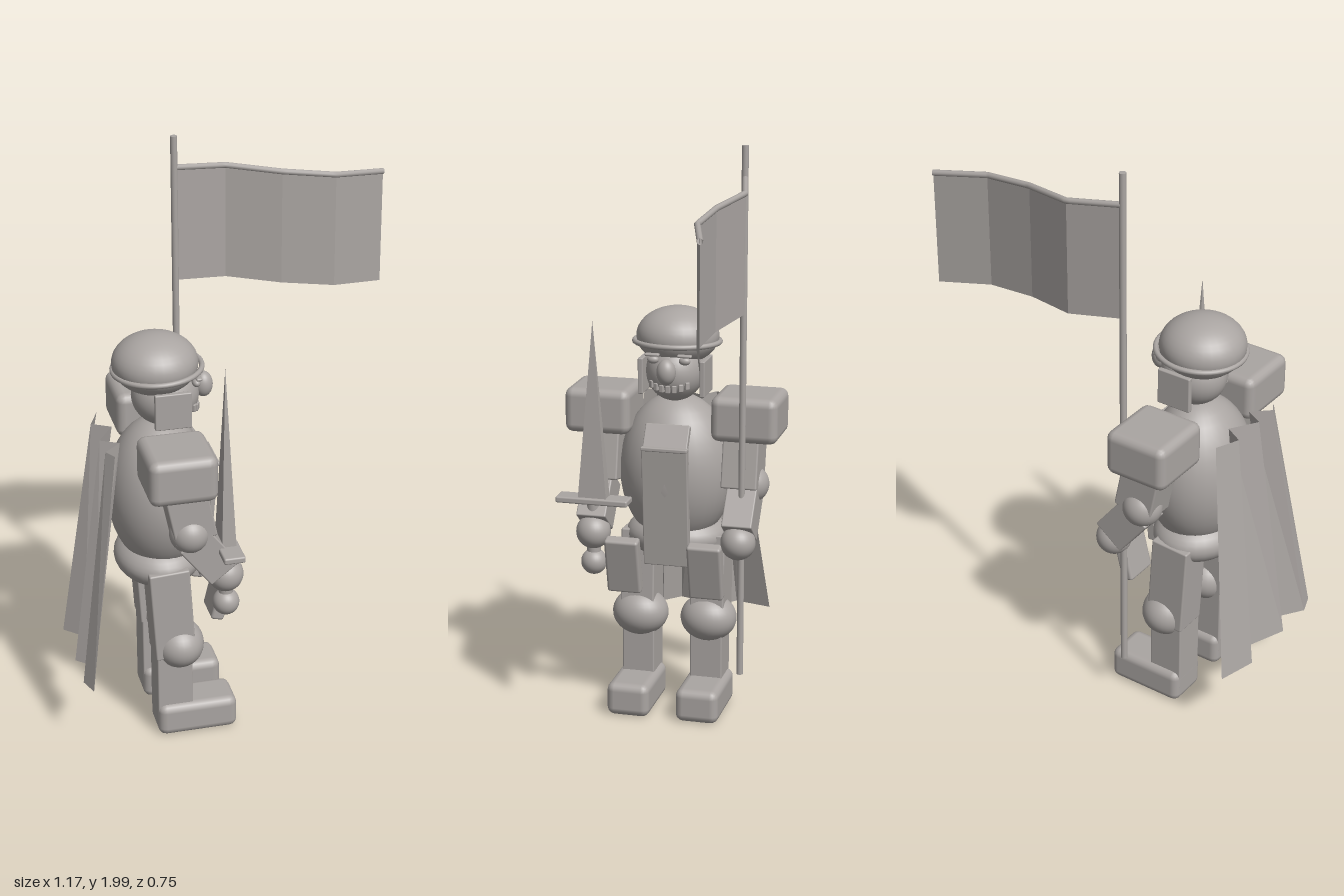
import * as THREE from 'three';
import { RoundedBoxGeometry } from 'three/addons/geometries/RoundedBoxGeometry.js';

const stone = new THREE.MeshStandardMaterial({ color: 0xaaa5a2 });
stone.name = 'warmGrey';
stone.side = THREE.DoubleSide;

export function createModel() {
  const model = new THREE.Group();
  model.name = 'standardBearer';

  const add = (name, geometry, x = 0, y = 0, z = 0) => {
    const mesh = new THREE.Mesh(geometry, stone);
    mesh.name = name;
    mesh.position.set(x, y, z);
    model.add(mesh);
    return mesh;
  };
  const ball = (name, x, y, z, rx, ry = rx, rz = rx) => {
    const mesh = add(name, new THREE.SphereGeometry(1, 32, 20), x, y, z);
    mesh.scale.set(rx, ry, rz);
    return mesh;
  };
  const block = (name, x, y, z, w, h, d, bevel = 0.006, tilt = 0) => {
    const mesh = add(name, new RoundedBoxGeometry(w, h, d, 2, bevel), x, y, z);
    mesh.rotation.z = tilt;
    return mesh;
  };
  // Open sheet between an upper and a lower row of points
  const sheet = (name, upper, lower) => {
    const p = [];
    for (let i = 0; i < upper.length - 1; i++) {
      const [a, b, c, d] = [upper[i], lower[i], lower[i + 1], upper[i + 1]];
      p.push(...a, ...b, ...c, ...a, ...c, ...d);
    }
    const g = new THREE.BufferGeometry();
    g.setAttribute('position', new THREE.Float32BufferAttribute(p, 3));
    g.computeVertexNormals();
    return add(name, g);
  };

  // Body
  ball('torso', -0.265, 0.86, 0, 0.175, 0.27, 0.2);
  ball('hips', -0.275, 0.625, 0, 0.147, 0.09, 0.18);
  block('chestPlateLower', -0.113, 0.763, 0, 0.03, 0.425, 0.16, 0.004, -0.085);
  block('chestPlateUpper', -0.123, 1.005, 0, 0.025, 0.09, 0.155, 0.004, 0.55);
  block('chestBar', -0.09, 0.972, 0, 0.03, 0.014, 0.162, 0.004);

  // Head and helmet
  ball('head', -0.24, 1.215, 0, 0.112, 0.105, 0.1);
  ball('helmet', -0.272, 1.33, 0, 0.142, 0.1, 0.142);
  const brim = add('helmetBrim', new THREE.TorusGeometry(0.146, 0.009, 10, 48), -0.265, 1.312, 0);
  brim.rotation.set(Math.PI / 2, 0.04, 0);
  ball('nose', -0.112, 1.235, 0, 0.032, 0.044, 0.033);
  for (const s of [-1, 1]) {
    ball('eye', -0.148, 1.268, s * 0.055, 0.014, 0.014, 0.02);
    block('brow', -0.142, 1.286, s * 0.056, 0.02, 0.01, 0.05);
    block('cheekGuard', -0.237, 1.2, s * 0.108, 0.122, 0.125, 0.018, 0.004);
  }
  for (let i = -3; i <= 3; i++) {
    const a = i * 0.22;
    const tooth = block('tooth', -0.24 + 0.103 * Math.cos(a), 1.17 + 0.0012 * i * i, 0.098 * Math.sin(a), 0.018, 0.026, 0.016, 0.003);
    tooth.rotation.y = -a;
  }

  // Mirrored limbs and armour
  for (const s of [-1, 1]) {
    block('shoulderGuard', -0.26, 1.07, s * 0.257, 0.225, 0.158, 0.232, 0.03);
    block('upperArm', -0.232, 0.945, s * 0.245, 0.14, 0.25, 0.125, 0.006, 0.2);
    ball('elbow', -0.225, 0.835, s * 0.268, 0.066);
    block('forearm', -0.165, 0.755, s * 0.255, 0.12, 0.17, 0.105, 0.005, 0.66);
    ball('hand', -0.102, 0.66, s * 0.255, 0.06);
    block('skirtPlate', -0.093, 0.55, s * 0.145, 0.045, 0.205, 0.12, 0.01, -0.24);
    block('thigh', -0.264, 0.475, s * 0.125, 0.138, 0.33, 0.12, 0.006, 0.06);
    ball('knee', -0.235, 0.335, s * 0.123, 0.087, 0.083, 0.099);
    block('shin', -0.258, 0.21, s * 0.122, 0.122, 0.3, 0.114, 0.005);
    block('foot', -0.182, 0.065, s * 0.123, 0.275, 0.118, 0.152, 0.028);
  }

  // Sword held upright
  const sword = [-0.1, 0.253];
  const bladeGeometry = new THREE.ConeGeometry(Math.SQRT2, 0.62, 4).toNonIndexed();
  bladeGeometry.rotateY(Math.PI / 4);
  bladeGeometry.computeVertexNormals();
  const blade = add('swordBlade', bladeGeometry, sword[0], 1.09, sword[1]);
  blade.scale.set(0.024, 1, 0.05);
  block('swordGuard', sword[0], 0.774, sword[1], 0.072, 0.022, 0.255, 0.006);
  add('swordGrip', new THREE.CylinderGeometry(0.024, 0.024, 0.22, 16), sword[0], 0.67, sword[1]);
  ball('swordPommel', sword[0], 0.552, sword[1], 0.045);

  // Flag on its pole
  add('flagPole', new THREE.CylinderGeometry(0.0115, 0.0115, 1.83, 16), -0.142, 1.085, -0.257);
  const wave = [[-0.14, -0.258], [0.04, -0.298], [0.22, -0.247], [0.4, -0.23], [0.578, -0.282]];
  const edge = y => wave.map(([x, z]) => [x, y - 0.117 * (x + 0.14), z]);
  sheet('flagCloth', edge(1.893), edge(1.5));
  const rod = new THREE.CurvePath();
  const top = edge(1.893).map(p => new THREE.Vector3(...p));
  for (let i = 0; i < 4; i++) rod.add(new THREE.LineCurve3(top[i], top[i + 1]));
  add('flagTopRod', new THREE.TubeGeometry(rod, 48, 0.01, 10));

  // Pleated cape
  const hem = [[-0.55, -0.275], [-0.585, -0.145], [-0.522, -0.085], [-0.58, 0.06], [-0.52, 0.115], [-0.578, 0.2], [-0.555, 0.265]];
  sheet('cape',
    hem.map(([x, z]) => [x + 0.112, 1.088, z * 0.62]),
    hem.map(([x, z]) => [x, 0.275, z]));

  return model;
}
